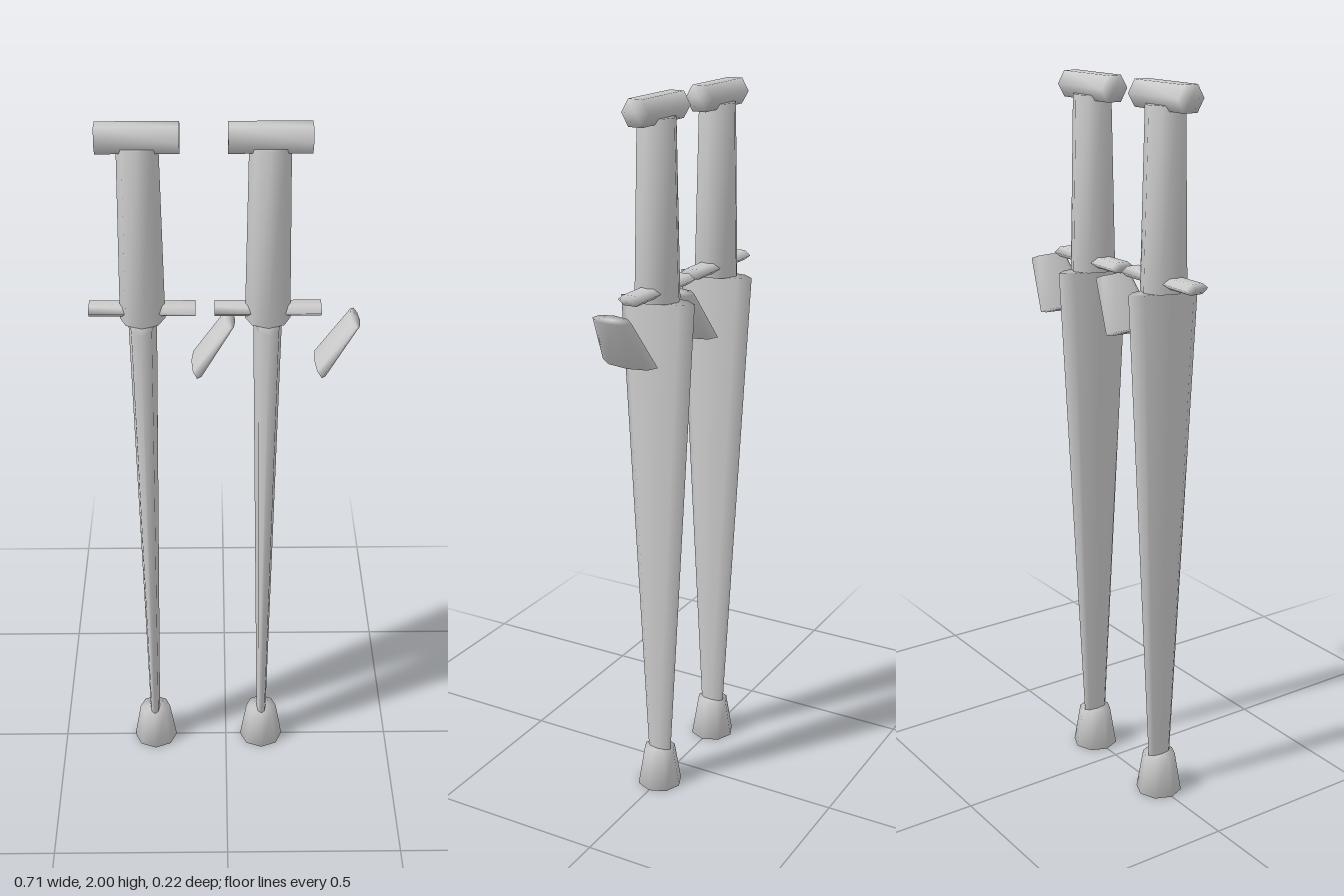
import * as THREE from 'three';
import { mergeVertices } from 'three/addons/utils/BufferGeometryUtils.js';

const material = new THREE.MeshStandardMaterial({ color: 0xcccccc });

// Tapered prism along y with an oval section [x radius, z radius] at each end,
// welded so the shading rolls smoothly over every edge.
function taper(name, sides, height, bottom, top) {
  let geometry = new THREE.CylinderGeometry(1, 1, height, sides);
  const p = geometry.attributes.position;
  for (let i = 0; i < p.count; i++) {
    const [rx, rz] = p.getY(i) > 0 ? top : bottom;
    p.setX(i, p.getX(i) * rx);
    p.setZ(i, p.getZ(i) * rz);
  }
  geometry.deleteAttribute('normal');
  geometry.deleteAttribute('uv');
  geometry = mergeVertices(geometry, 1e-5);
  geometry.computeVertexNormals();
  const mesh = new THREE.Mesh(geometry, material);
  mesh.name = name;
  return mesh;
}

function createCrutch(name) {
  const crutch = new THREE.Group();
  crutch.name = name;
  const add = (mesh, x, y, tilt = 0) => {
    mesh.position.set(x, y, 0);
    mesh.rotation.z = tilt;
    crutch.add(mesh);
  };

  // Rubber foot and long flattened shaft
  add(taper('foot', 8, 0.115, [0.065, 0.065], [0.046, 0.046]), 0, 0.0575);
  add(taper('shaft', 8, 1.37, [0.014, 0.036], [0.038, 0.112]), 0, 0.785);

  // Upper post with the top rest lying across it
  add(taper('upperPost', 8, 0.475, [0.06, 0.064], [0.053, 0.052]), 0, 1.7075);
  add(taper('topRest', 6, 0.21, [0.04, 0.041], [0.04, 0.041]), 0, 1.9653, Math.PI / 2);

  // Flat crossbar grip
  add(taper('crossbar', 6, 0.28, [0.016, 0.037], [0.016, 0.037]), 0, 1.498, Math.PI / 2);

  // Slanted pad floating beside the crossbar
  add(taper('sidePad', 8, 0.163, [0.019, 0.083], [0.016, 0.057]), 0.187, 1.4, -0.57);
  return crutch;
}

export function createModel() {
  const model = new THREE.Group();
  model.name = 'crutches';
  [['rightCrutch', -0.22], ['leftCrutch', 0.11]].forEach(([name, x]) => {
    const crutch = createCrutch(name);
    crutch.position.x = x;
    model.add(crutch);
  });
  return model;
}
